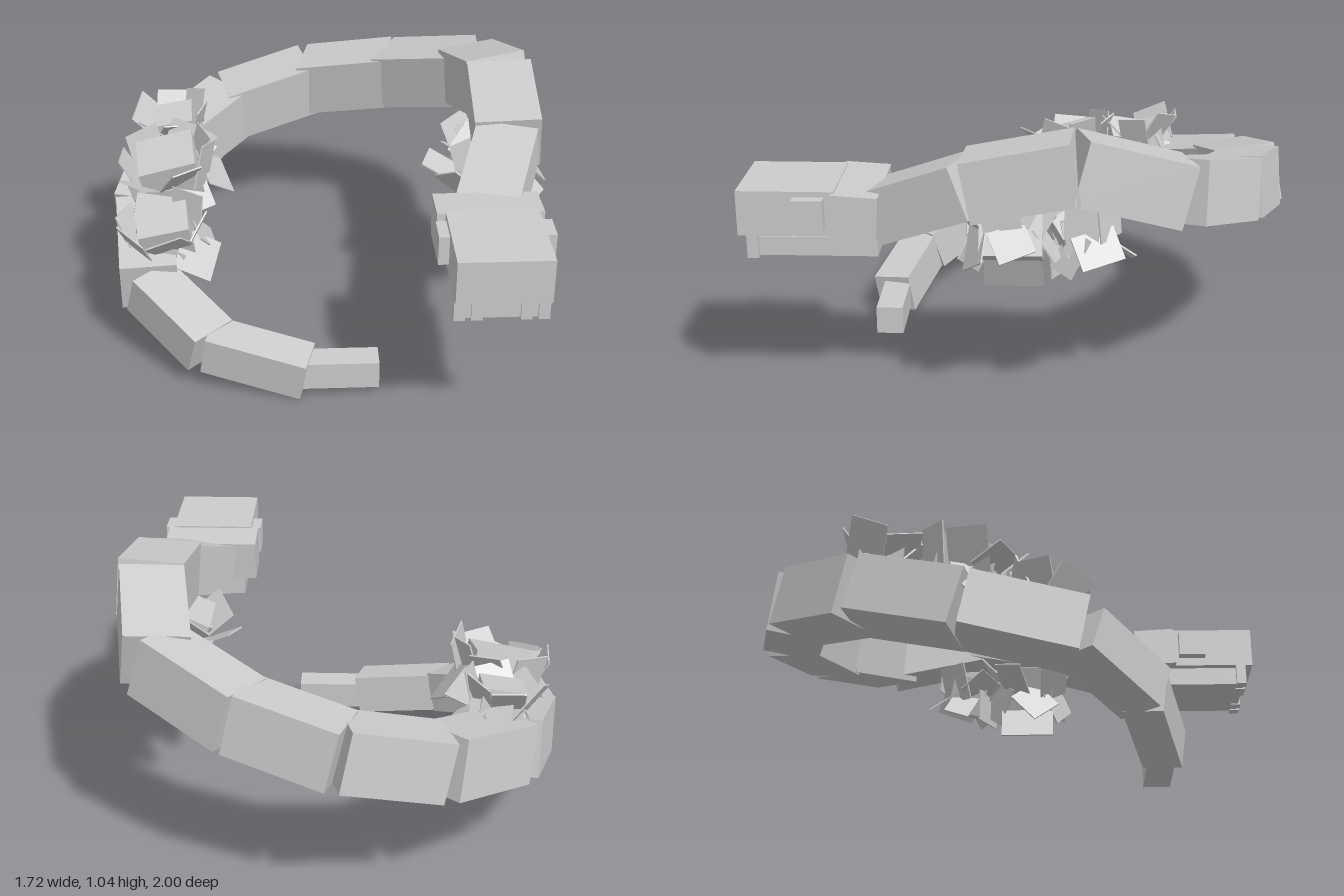
import * as THREE from 'three';

const grey = new THREE.MeshStandardMaterial({ color: 0xcccccc });
grey.name = 'stoneGrey';
grey.flatShading = true;

// small seeded generator
function seeded(seed) {
  let s = seed;
  return () => {
    s = (s * 16807) % 2147483647;
    return s / 2147483647;
  };
}

// axis-aligned box from its limits
function block(parent, name, x0, x1, y0, y1, z0, z1) {
  const mesh = new THREE.Mesh(new THREE.BoxGeometry(x1 - x0, y1 - y0, z1 - z0), grey);
  mesh.position.set((x0 + x1) / 2, (y0 + y1) / 2, (z0 + z1) / 2);
  mesh.name = name;
  parent.add(mesh);
  return mesh;
}

// box laid between two points and rolled about its length
function segment(parent, a, b, width, height, roll) {
  const p = new THREE.Vector3(...a), q = new THREE.Vector3(...b);
  const mesh = new THREE.Mesh(new THREE.BoxGeometry(width, height, p.distanceTo(q) + 0.01), grey);
  mesh.position.copy(p).lerp(q, 0.5);
  mesh.lookAt(q);
  mesh.rotateZ(roll);
  mesh.name = 'bodySegment';
  parent.add(mesh);
}

// box core inside two flaring rings of broad thin plates
function tuft(parent, name, center, size, tilt, perRing, rand) {
  const group = new THREE.Group();
  group.name = name;
  group.position.set(...center);
  group.rotation.set(...tilt);
  const core = new THREE.Mesh(new THREE.BoxGeometry(...size), grey);
  core.name = 'tuftCore';
  group.add(core);
  for (let i = 0; i < perRing * 2; i++) {
    const ring = i < perRing ? 1 : -1;
    const plate = new THREE.Mesh(
      new THREE.BoxGeometry(0.11 + rand() * 0.06, 0.12 + rand() * 0.06, 0.006), grey);
    const angle = ((i + (ring > 0 ? 0 : 0.5)) / perRing) * Math.PI * 2 + rand() * 0.3;
    const radius = 0.62 + rand() * 0.14;
    plate.position.set(
      Math.sin(angle) * size[0] * radius,
      ring * size[1] * (0.2 + rand() * 0.12),
      Math.cos(angle) * size[2] * radius);
    plate.rotation.set(ring * (0.2 + rand() * 0.6), angle, (rand() - 0.5) * 1.2, 'YXZ');
    plate.name = 'tuftPlate';
    group.add(plate);
  }
  parent.add(group);
}

export function createModel() {
  const model = new THREE.Group();
  model.name = 'blockSerpent';

  // head
  const head = new THREE.Group();
  head.name = 'head';
  model.add(head);
  const skull = block(head, 'skull', 0.36, 0.74, 0.655, 0.815, 0.505, 0.67);
  skull.rotation.x = -0.06;
  block(head, 'snout', 0.39, 0.72, 0.66, 0.825, 0.655, 1.0);
  block(head, 'lowerJaw', 0.41, 0.7, 0.58, 0.65, 0.51, 0.96);
  block(head, 'mouth', 0.42, 0.69, 0.645, 0.665, 0.55, 0.93);
  for (const side of [-1, 1]) {
    const x = 0.556 + side * 0.18;
    block(head, 'eyeBlock', x - 0.024, x + 0.024, 0.695, 0.805, 0.69, 0.8);
  }
  // teeth
  for (const x of [0.41, 0.47, 0.64, 0.7]) {
    block(head, 'tooth', x - 0.02, x + 0.02, 0.575, 0.67, 0.93, 0.97);
  }

  // body: joint x, y, z, then width, height and roll of the segment that starts there
  const body = new THREE.Group();
  body.name = 'body';
  model.add(body);
  const joints = [
    [0.56, 0.70, 0.52, 0.23, 0.20, 0],
    [0.68, 0.845, 0.185, 0.25, 0.22, -0.06],
    [0.695, 0.92, -0.185, 0.24, 0.23, -0.1],
    [0.63, 0.815, -0.55, 0.22, 0.23, -0.12],
    [0.315, 0.72, -0.765, 0.22, 0.23, -0.12],
    [-0.04, 0.645, -0.875, 0.22, 0.23, -0.12],
    [-0.39, 0.56, -0.795, 0.22, 0.23, -0.08],
    [-0.65, 0.47, -0.53, 0.23, 0.22, -0.03],
    [-0.74, 0.365, -0.165, 0.22, 0.21, 0],
    [-0.70, 0.28, 0.24, 0.19, 0.17, 0.04],
    [-0.465, 0.16, 0.475, 0.15, 0.16, 0.1],
    [-0.1, 0.09, 0.565],
  ];
  for (let i = 0; i < joints.length - 1; i++) {
    const a = joints[i], b = joints[i + 1];
    segment(body, a.slice(0, 3), b.slice(0, 3), a[3], a[4], a[5]);
  }
  block(body, 'tailTip', -0.12, 0.175, 0.035, 0.145, 0.5, 0.605);

  // tufts along the inner side of the body
  const rand = seeded(17);
  tuft(model, 'frontTuft', [0.645, 0.665, 0.04], [0.24, 0.2, 0.22], [0, 0, 0.45], 6, rand);
  const hanging = block(model, 'hangingPlate', 0.527, 0.533, 0.385, 0.535, -0.07, 0.15);
  hanging.rotation.z = -0.4;
  tuft(model, 'frontSmallTuft', [0.64, 0.63, -0.22], [0.15, 0.16, 0.15], [0.2, 0.1, 0.3], 5, rand);
  tuft(model, 'rearUpperTuft', [-0.61, 0.61, -0.47], [0.16, 0.16, 0.16], [0.15, 0.05, 0.15], 6, rand);
  tuft(model, 'rearMiddleTuft', [-0.62, 0.57, -0.17], [0.23, 0.2, 0.21], [0.25, 0.1, 0.2], 7, rand);
  tuft(model, 'rearLowerTuft', [-0.63, 0.43, 0.11], [0.2, 0.19, 0.16], [0.3, 0.1, 0.15], 6, rand);

  return model;
}
